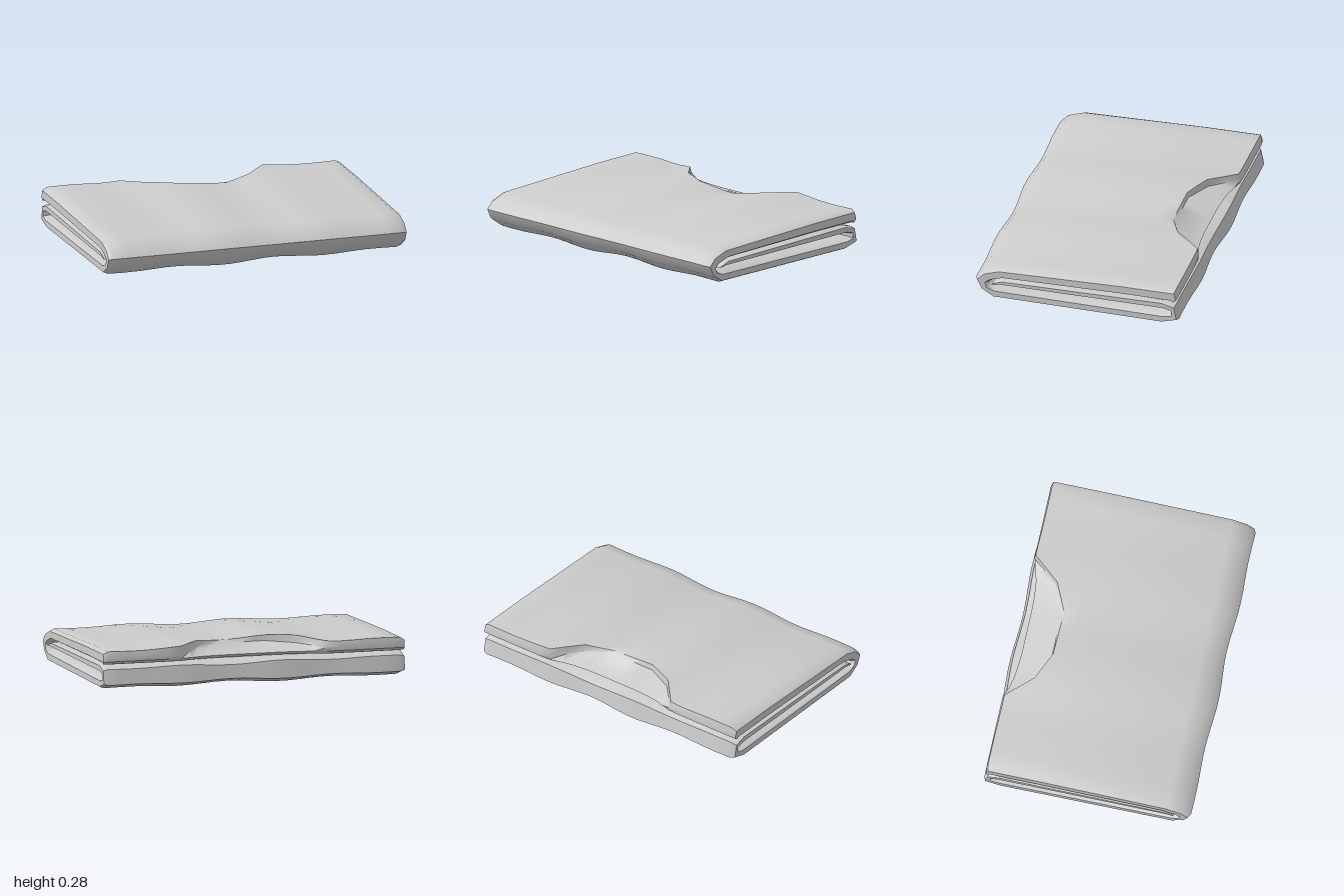
import * as THREE from 'three';
import { toCreasedNormals } from 'three/addons/utils/BufferGeometryUtils.js';

const { lerp } = THREE.MathUtils;

// piecewise linear value on [x, value] pairs
function along(x, table) {
  if (x <= table[0][0]) return table[0][1];
  for (let i = 1; i < table.length; i++) {
    const [x0, v0] = table[i - 1], [x1, v1] = table[i];
    if (x <= x1) return lerp(v0, v1, (x - x0) / (x1 - x0));
  }
  return table[table.length - 1][1];
}

// soft ripples across the width of the cloth
const ripple = x => 0.011 * Math.cos((x + 0.2) * Math.PI * 2 / 0.7) * (1 - x * x);

// cross-section in (z, y): pairs of outer and inner cloth points, from the
// upper back edge, round the front fold, under, and round the back fold
function section(x) {
  const ax = Math.abs(x);
  const neck = along(ax, [[0.15, -0.4], [0.33, -0.48], [0.48, -0.65]]);
  const back = along(ax, [[0.2, -0.605], [0.34, -0.62], [0.49, -0.66]]);
  const lip = along(ax, [[0.15, 0.245], [0.33, 0.235], [0.48, 0.225]]);
  const top = along(ax, [[0.15, 0.272], [0.33, 0.28], [0.6, 0.265]]);
  const pairs = [
    [back, 0.2, back + 0.03, 0.18],
    [neck - 0.01, lip, neck + 0.02, 0.179],
    [neck, top, neck + 0.03, 0.178],
    [-0.3, along(ax, [[0.4, 0.272], [0.9, 0.26]]), -0.3, 0.176],
    [0.52, 0.23, 0.48, 0.16],
    [0.62, 0.195, 0.56, 0.135],
    [0.67, 0.14, 0.59, 0.115],
    [0.635, 0.07, 0.58, 0.09],
    [0.55, 0.014, 0.54, 0.08],
    [-0.56, 0.016, -0.58, 0.08],
    [-0.672, 0.05, -0.62, 0.088],
    [-0.65, 0.15, -0.62, 0.11],
    [-0.56, 0.175, -0.58, 0.12],
    [0.48, 0.15, 0.52, 0.115],
    [0.555, 0.122, 0.56, 0.11],
  ];
  const r = ripple(x), pinch = ax > 0.99 ? 0.2 : 0;
  const outer = [], inner = [];
  pairs.forEach(([oz, oy, iz, iy], k) => {
    if (k > 1 && k < 12) {
      const d = Math.hypot(oz - iz, oy - iy);
      oz += (oz - iz) / d * r;
      oy += (oy - iy) / d * r;
    }
    outer.push([lerp(oz, iz, pinch), lerp(oy, iy, pinch)]);
    inner.push([lerp(iz, oz, pinch), lerp(iy, oy, pinch)]);
  });
  return [...outer, ...inner.reverse()];
}

function foldedCloth() {
  const half = [0.08, 0.15, 0.24, 0.33, 0.405, 0.48, 0.57, 0.66, 0.76, 0.87, 0.97, 1];
  const stations = [...half.map(x => -x).reverse(), 0, ...half];
  const positions = [], index = [];
  let n = 0;
  for (const x of stations) {
    const loop = section(x);
    n = loop.length;
    for (const [z, y] of loop) positions.push(x, y, z);
  }
  // cloth surface between neighbouring sections
  for (let i = 0; i < stations.length - 1; i++) {
    for (let j = 0; j < n; j++) {
      const a = i * n + j, b = i * n + (j + 1) % n;
      index.push(a, b, a + n, b, b + n, a + n);
    }
  }
  // side edges of the cloth
  const end = (stations.length - 1) * n;
  for (let k = 0; k < n / 2 - 1; k++) {
    const o = k, p = k + 1, q = n - 2 - k, s = n - 1 - k;
    index.push(end + o, end + p, end + q, end + o, end + q, end + s);
    index.push(o, q, p, o, s, q);
  }
  const geometry = new THREE.BufferGeometry();
  geometry.setAttribute('position', new THREE.Float32BufferAttribute(positions, 3));
  geometry.setIndex(index);
  return toCreasedNormals(geometry, 0.95);
}

export function createModel() {
  const group = new THREE.Group();
  group.name = 'foldedShirt';
  const material = new THREE.MeshStandardMaterial({ color: 0xcccccc, side: THREE.DoubleSide });
  const cloth = new THREE.Mesh(foldedCloth(), material);
  cloth.name = 'foldedCloth';
  group.add(cloth);
  return group;
}
